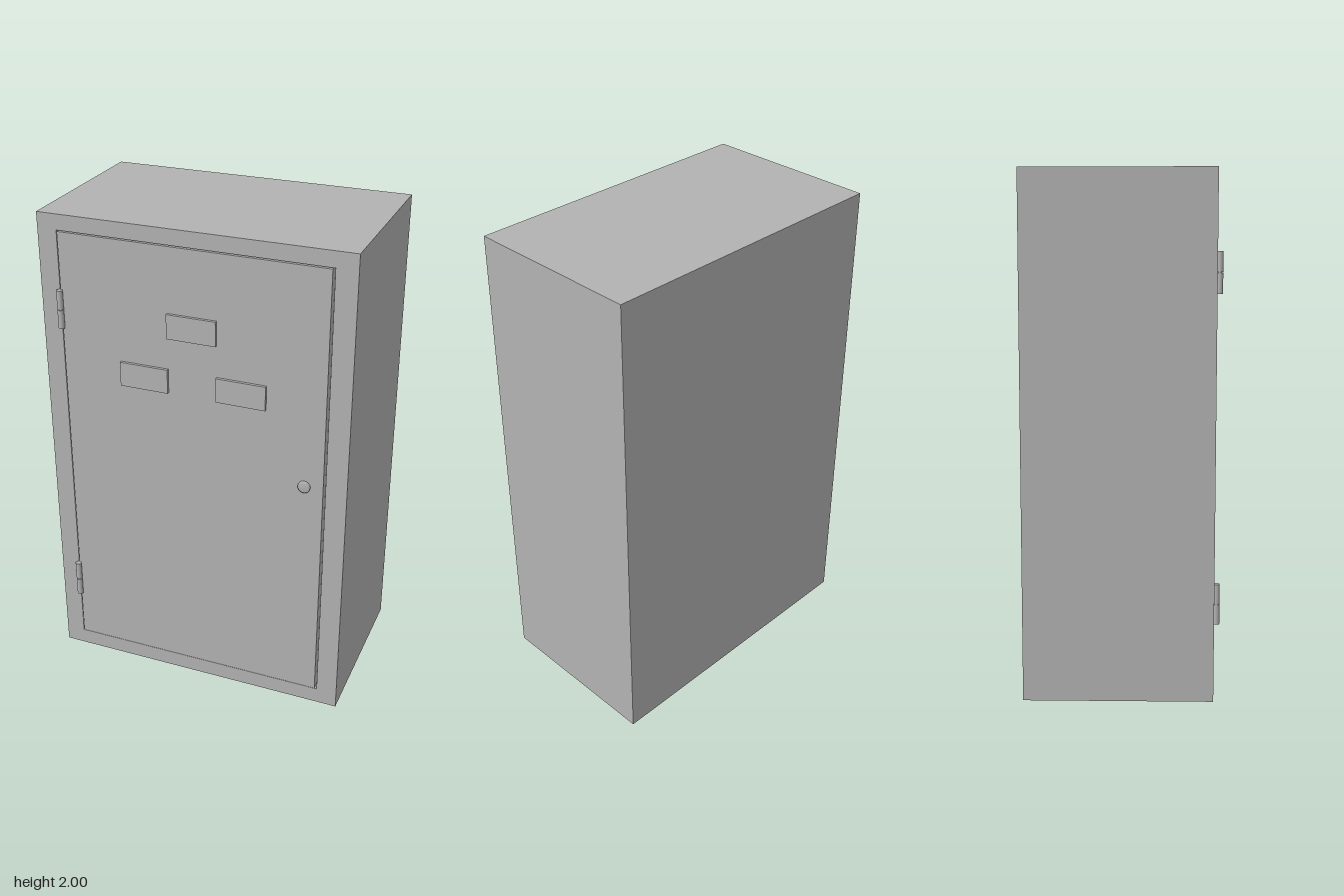
import * as THREE from 'three';

const BACK = -0.375, FRONT = 0.35;

export function createModel() {
  const model = new THREE.Group();
  model.name = 'cabinet';
  const paint = new THREE.MeshStandardMaterial({ color: 0xb2b2b2 });
  paint.name = 'grey paint';

  const add = (name, geometry, x, y, z, parent = model) => {
    const mesh = new THREE.Mesh(geometry, paint);
    mesh.name = name;
    mesh.position.set(x, y, z);
    parent.add(mesh);
    return mesh;
  };
  // Box given by its limits on each axis
  const addBox = (name, x0, x1, y0, y1, z0, z1, parent) =>
    add(name, new THREE.BoxGeometry(x1 - x0, y1 - y0, z1 - z0),
      (x0 + x1) / 2, (y0 + y1) / 2, (z0 + z1) / 2, parent);
  const rectangle = (path, x0, x1, y0, y1) =>
    path.moveTo(x0, y0).lineTo(x1, y0).lineTo(x1, y1).lineTo(x0, y1).closePath();

  // Outer shell with the door opening, and the core behind the door
  const outline = rectangle(new THREE.Shape(), -0.63, 0.63, 0, 2);
  outline.holes.push(rectangle(new THREE.Path(), -0.55, 0.545, 0.068, 1.937));
  add('shell', new THREE.ExtrudeGeometry(outline, { depth: FRONT - BACK, bevelEnabled: false }), 0, 0, BACK);
  addBox('core', -0.55, 0.545, 0.068, 1.937, BACK, 0.32);

  // Door with a narrow gap all round
  const door = new THREE.Group();
  door.name = 'door';
  model.add(door);
  addBox('doorPanel', -0.546, 0.536, 0.072, 1.933, 0.32, 0.353, door);

  // Raised plates
  for (const [x, y] of [[0, 1.62], [-0.2, 1.39], [0.2, 1.39]])
    addBox('raisedPlate', x - 0.1, x + 0.1, y - 0.05, y + 0.05, 0.345, 0.365, door);

  // Round lock with a chamfered rim
  const lockProfile = [[0, 0], [0.025, 0], [0.025, 0.013], [0.02, 0.017], [0, 0.017]]
    .map(([r, h]) => new THREE.Vector2(r, h));
  const lock = add('lock', new THREE.LatheGeometry(lockProfile, 32), 0.46, 1.04, 0.346, door);
  lock.rotation.x = Math.PI / 2;

  // Two-knuckle hinges
  for (const y of [0.36, 1.622]) {
    const hinge = new THREE.Group();
    hinge.name = 'hinge';
    hinge.position.set(-0.547, y, 0.362);
    model.add(hinge);
    for (const side of [-1, 1])
      add('hingeKnuckle', new THREE.CylinderGeometry(0.0125, 0.0125, 0.077, 24), 0, side * 0.04, 0, hinge);
    add('hingePin', new THREE.CylinderGeometry(0.008, 0.008, 0.15, 16), 0, 0, 0, hinge);
  }
  return model;
}
